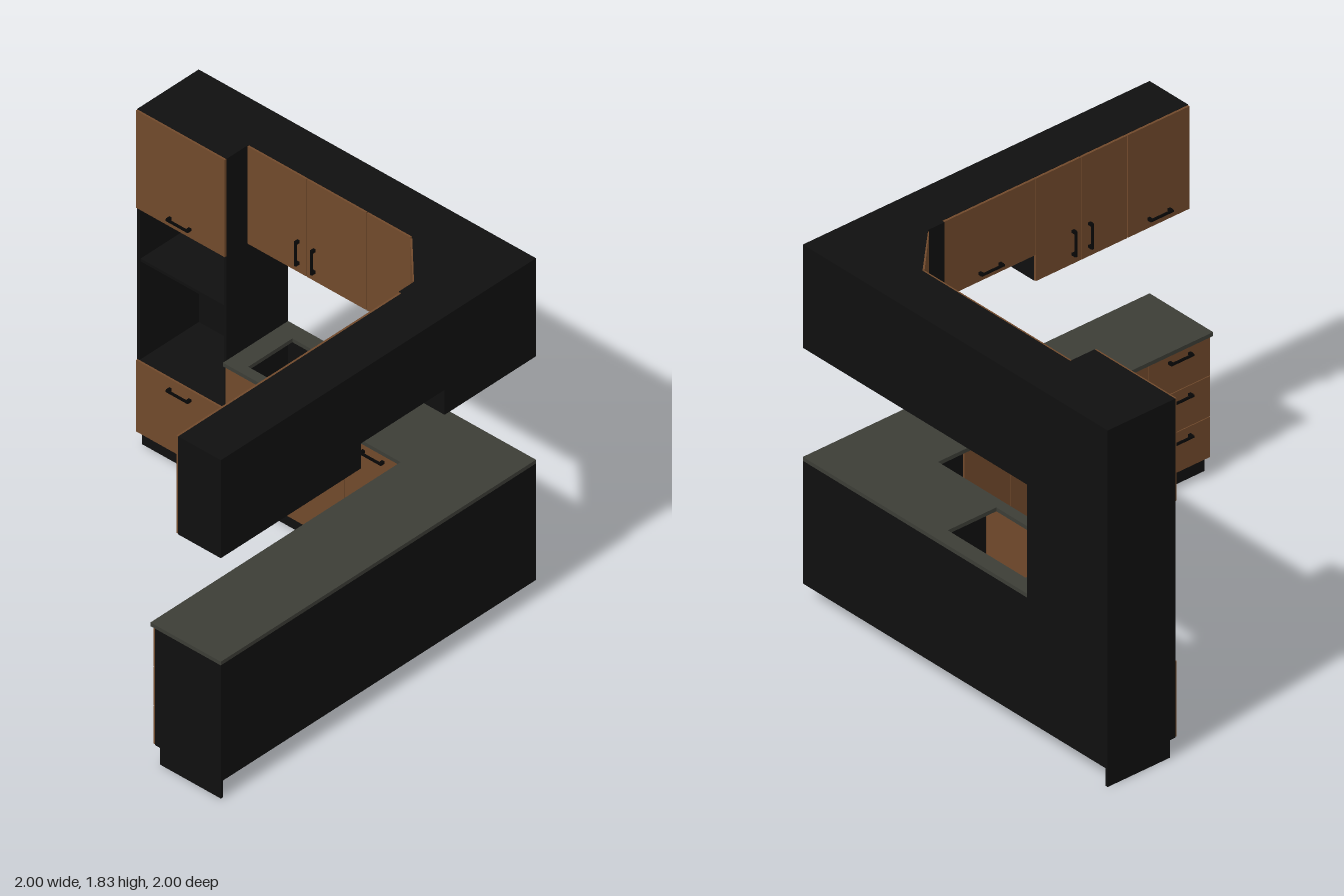
import * as THREE from 'three';

const material = (name, color) => {
  const m = new THREE.MeshStandardMaterial({ color });
  m.name = name;
  return m;
};

export function createModel() {
  const kitchen = new THREE.Group();
  kitchen.name = 'cornerKitchen';
  const black = material('blackCarcass', 0x0f0f0f);
  const wood = material('brownWood', 0x70492b);
  const stone = material('greyWorktop', 0x3c3d36);
  const metal = material('handleBlack', 0x060606);

  // Box given by its limits on each axis
  const box = (name, x0, x1, y0, y1, z0, z1, mat = black, parent = kitchen) => {
    const mesh = new THREE.Mesh(new THREE.BoxGeometry(x1 - x0, y1 - y0, z1 - z0), mat);
    mesh.position.set((x0 + x1) / 2, (y0 + y1) / 2, (z0 + z1) / 2);
    mesh.name = name;
    parent.add(mesh);
    return mesh;
  };

  // Floor-plan outline [x, z] raised from y0 to y1, with an optional hole
  const slab = (name, points, y0, y1, mat, hole) => {
    const toV = ([x, z]) => new THREE.Vector2(x, -z);
    const shape = new THREE.Shape(points.map(toV));
    if (hole) shape.holes.push(new THREE.Path(hole.map(toV)));
    const geo = new THREE.ExtrudeGeometry(shape, { depth: y1 - y0, bevelEnabled: false });
    geo.rotateX(-Math.PI / 2);
    const mesh = new THREE.Mesh(geo, mat);
    mesh.position.y = y0;
    mesh.name = name;
    kitchen.add(mesh);
  };

  // Group whose local z = 0 is the plane of a row of door fronts
  const frontPlane = (name, x, z, angle = 0) => {
    const g = new THREE.Group();
    g.name = name;
    g.position.set(x, 0, z);
    g.rotation.y = angle;
    kitchen.add(g);
    return g;
  };

  // Bar handle on two feet
  const handle = (parent, u, y, vertical) => {
    const g = new THREE.Group();
    g.name = 'handle';
    g.position.set(u, y, 0);
    if (vertical) g.rotation.z = Math.PI / 2;
    box('handleBar', -0.065, 0.065, -0.005, 0.005, 0.016, 0.025, metal, g);
    for (const s of [-1, 1]) {
      box('handleFoot', s * 0.058 - 0.007, s * 0.058 + 0.007, -0.007, 0.007, 0, 0.02, metal, g);
    }
    parent.add(g);
  };

  // Door or drawer front with a narrow gap all round
  const front = (parent, u0, u1, y0, y1) => {
    const gap = 0.002;
    box('doorFront', u0 + gap, u1 - gap, y0 + gap, y1 - gap, -0.012, 0, wood, parent);
  };

  const KICK = 0.09, BASE = 0.72, LOW = 1.3, TOP = 1.83, HOOD = 1.435, T = 0.015;

  // Tall unit with an open appliance niche
  box('tallBase', -1, -0.47, KICK, 0.48, -1, -0.61);
  box('tallTop', -1, -0.47, LOW, TOP, -1, -0.61);
  box('tallBack', -1, -0.47, 0.48, LOW, -1, -1 + T);
  box('tallSide', -1, -1 + T, 0.48, LOW, -1, -0.61);
  box('tallSide', -0.47 - T, -0.47, 0.48, LOW, -1, -0.61);
  box('nicheShelf', -1 + T, -0.47 - T, 1.01, 1.025, -1 + T, -0.615);

  // Hollow sink cabinet
  box('sinkFloor', -0.47, 0.24, KICK, KICK + T, -1, -0.61);
  box('sinkBack', -0.47, 0.24, KICK + T, BASE, -1, -1 + T);
  box('sinkSide', -0.47, -0.47 + T, KICK + T, BASE, -1 + T, -0.61);

  // Corner and side base cabinets
  slab('baseCabinets', [[0.24, -1], [1, -1], [1, 1], [0.61, 1], [0.61, -0.61], [0.24, -0.61]],
    KICK, BASE, black);

  // Kickboards, open at the wall side
  box('kickboard', -1, 0.655, 0, KICK, -0.655, -0.64);
  box('kickboard', 0.64, 0.655, 0, KICK, -0.64, 1);
  box('kickboardEnd', 0.655, 1, 0, KICK, 1 - T, 1);
  box('kickboardEnd', -1, -1 + T, 0, KICK, -1, -0.655);

  // Worktop with sink cut-out
  slab('worktop', [[-0.47, -1], [1, -1], [1, 1], [0.583, 1], [0.583, -0.587], [-0.47, -0.587]],
    BASE, 0.74, stone, [[-0.37, -0.92], [-0.37, -0.64], [0.14, -0.64], [0.14, -0.92]]);

  // Wall cabinets: back run with diagonal corner, hood unit, side run
  slab('cornerWallCabinets', [[-0.47, -1], [1, -1], [1, -0.42], [0.73, -0.42], [0.73, -0.515],
    [0.5, -0.75], [-0.47, -0.75]], LOW, TOP, black);
  box('hoodCabinet', 0.747, 1, HOOD, TOP, -0.42, 0.11);
  box('sideWallCabinets', 0.747, 1, LOW, TOP, 0.11, 1);

  // Tall unit fronts
  const tall = frontPlane('tallFronts', 0, -0.6);
  front(tall, -1, -0.47, KICK, 0.48);
  front(tall, -1, -0.47, LOW, TOP);
  handle(tall, -0.735, 0.425);
  handle(tall, -0.735, 1.35);

  // Back base and wall fronts
  const backBase = frontPlane('backBaseFronts', 0, -0.6);
  const backWall = frontPlane('backWallFronts', 0, -0.74);
  for (const [u0, u1, w1] of [[-0.47, -0.117, -0.117], [-0.117, 0.237, 0.237], [0.237, 0.6, 0.5]]) {
    front(backBase, u0, u1, KICK, BASE);
    front(backWall, u0, w1, LOW, TOP);
  }
  for (const u of [-0.165, -0.07]) {
    handle(backBase, u, 0.617, true);
    handle(backWall, u, 1.412, true);
  }
  handle(backBase, 0.41, 0.675);
  handle(backWall, 0.37, 1.35);

  // Diagonal corner door
  const corner = frontPlane('cornerFront', 0.611, -0.626, -Math.PI / 4);
  front(corner, -0.155, 0.155, LOW, TOP);
  handle(corner, 0, 1.35);

  // Side base fronts: door pair, appliance panel, three drawers
  const sideBase = frontPlane('sideBaseFronts', 0.6, 0, -Math.PI / 2);
  front(sideBase, -0.42, -0.155, KICK, BASE);
  front(sideBase, -0.155, 0.11, KICK, BASE);
  front(sideBase, 0.11, 0.64, KICK, BASE);
  for (const u of [-0.203, -0.107]) handle(sideBase, u, 0.617, true);
  for (let i = 0; i < 3; i++) {
    const y = KICK + i * 0.21;
    front(sideBase, 0.64, 1, y, y + 0.21);
    handle(sideBase, 0.82, y + 0.165);
  }

  // Side wall fronts: hood flap, door pair, end door
  const sideWall = frontPlane('sideWallFronts', 0.735, 0, -Math.PI / 2);
  front(sideWall, -0.42, 0.11, HOOD, TOP);
  front(sideWall, 0.11, 0.373, LOW, TOP);
  front(sideWall, 0.373, 0.64, LOW, TOP);
  front(sideWall, 0.64, 1, LOW, TOP);
  handle(sideWall, -0.155, 1.48);
  handle(sideWall, 0.325, 1.412, true);
  handle(sideWall, 0.42, 1.412, true);
  handle(sideWall, 0.82, 1.35);

  return kitchen;
}
